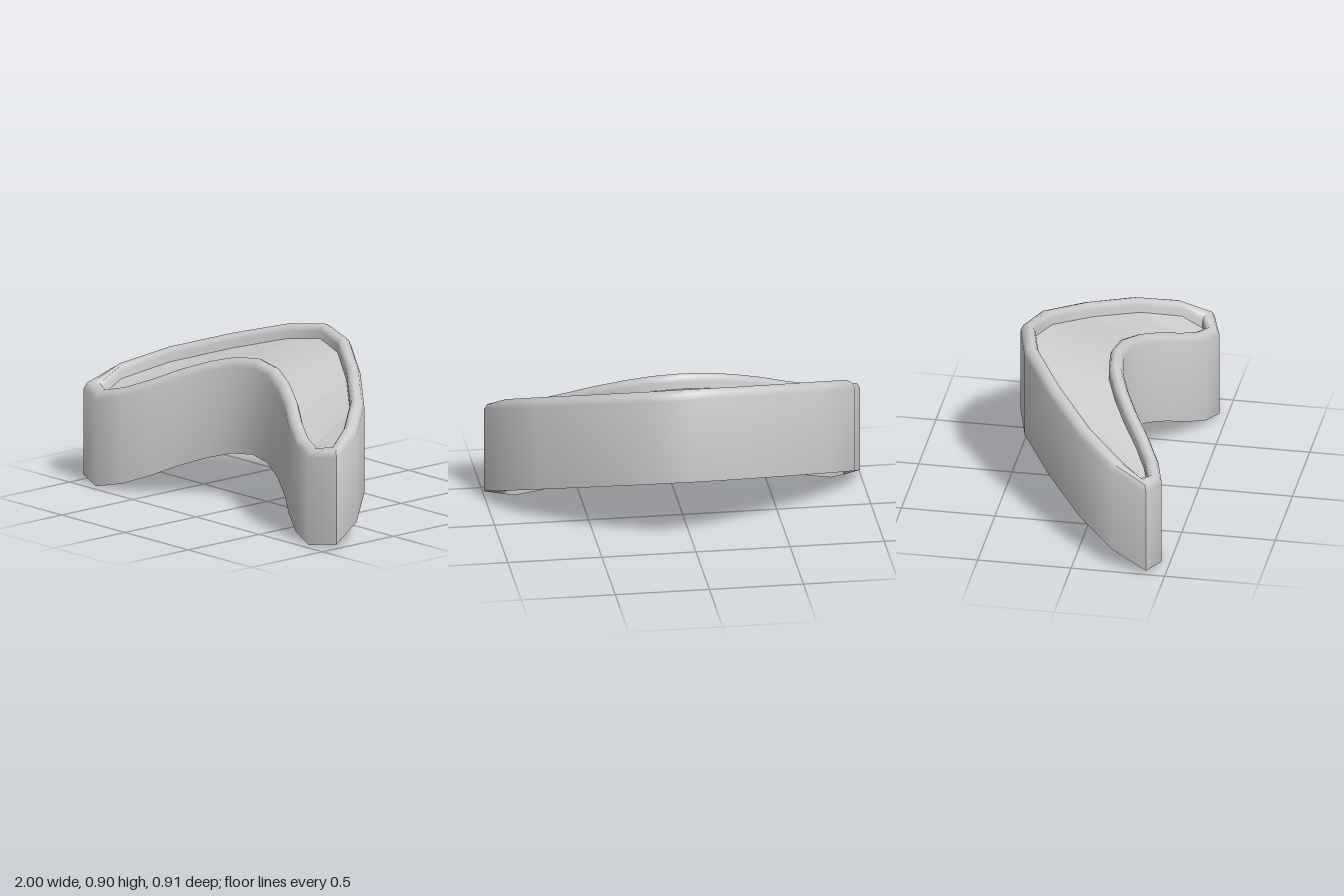
import * as THREE from 'three';
import { toCreasedNormals } from 'three/addons/utils/BufferGeometryUtils.js';

// Half outline in plan [x, z]: back apex -> tip, then tip -> front centre
const BACK = [[0, -0.455], [0.23, -0.39], [0.5, -0.215], [0.77, 0], [0.945, 0.21], [1, 0.4]];
const FRONT = [[0.84, 0.455], [0.69, 0.41], [0.55, 0.335], [0.42, 0.25], [0.28, 0.175], [0.14, 0.12], [0, 0.1]];
const Z_FRONT = 0.455;

// Wall section [inset, height]: outer face, rounded rim, inner face
const SECTION = [[0, 0], [0, 0.47], [0.014, 0.502], [0.043, 0.515], [0.066, 0.505], [0.075, 0.48], [0.075, 0]];
const WALL = 0.075;
const FLOOR_HEIGHT = 0.44;

// Full outline with its base height: the front edge climbs more steeply than the back
function buildOutline() {
  const half = [
    ...BACK.map(([x, z]) => ({ x, z, y: 0.418 * (Z_FRONT - z) })),
    ...FRONT.map(([x, z]) => ({ x, z, y: 0.76 * (Z_FRONT - z) })),
  ];
  const mirrored = half.slice(1, -1).reverse().map((p) => ({ ...p, x: -p.x }));
  const loop = [...half, ...mirrored];
  const n = loop.length;
  // Mitred inward direction at each corner
  const inward = (a, b) => {
    const l = Math.hypot(b.x - a.x, b.z - a.z);
    return [-(b.z - a.z) / l, (b.x - a.x) / l];
  };
  return loop.map((p, i) => {
    const [ax, az] = inward(loop[(i + n - 1) % n], p);
    const [bx, bz] = inward(p, loop[(i + 1) % n]);
    const k = 1 + ax * bx + az * bz;
    return { ...p, mx: (ax + bx) / k, mz: (az + bz) / k };
  });
}

const pointAt = (p, inset, height) => [p.x + p.mx * inset, p.y + height, p.z + p.mz * inset];

function makeGeometry(positions, index) {
  const g = new THREE.BufferGeometry();
  g.setAttribute('position', new THREE.Float32BufferAttribute(positions, 3));
  g.setIndex(index);
  g.computeVertexNormals();
  return g;
}

// Wall: the section swept around the closed outline
function wallGeometry(outline) {
  const positions = [], index = [];
  const n = outline.length, m = SECTION.length;
  outline.forEach((p, i) => {
    for (let j = 0; j < m; j++) {
      positions.push(...pointAt(p, ...SECTION[j]));
      const k = (j + 1) % m, next = ((i + 1) % n) * m;
      const a = i * m + j, b = i * m + k, c = next + j, d = next + k;
      index.push(a, b, c, b, d, c);
    }
  });
  return toCreasedNormals(makeGeometry(positions, index), 0.95);
}

// Height and depth of a chain of points at a given x
function sample(chain, x) {
  let i = 0;
  while (i < chain.length - 2 && chain[i + 1][0] < x) i++;
  const [a, b] = [chain[i], chain[i + 1]];
  const t = (x - a[0]) / (b[0] - a[0]);
  return [x, a[1] + (b[1] - a[1]) * t, a[2] + (b[2] - a[2]) * t];
}

// Recessed panel: a strip joining the back and front inner edges
function floorGeometry(outline) {
  const inner = outline.map((p) => pointAt(p, WALL - 0.002, FLOOR_HEIGHT));
  const tip = BACK.length - 1;
  const back = inner.slice(0, tip + 1);
  const front = inner.slice(tip, tip + FRONT.length + 1).reverse();
  const half = [...new Set([...back, ...front].map((p) => Math.max(0, +p[0].toFixed(5))))].sort((a, b) => a - b);
  const xs = [...half.slice(1).reverse().map((x) => -x), ...half];
  const positions = [], index = [];
  xs.forEach((x, i) => {
    for (const chain of [back, front]) {
      const [, y, z] = sample(chain, Math.abs(x));
      positions.push(x, y, z);
    }
    if (i > 0) {
      const a = (i - 1) * 2;
      index.push(a, a + 1, a + 2, a + 1, a + 3, a + 2);
    }
  });
  return makeGeometry(positions, index);
}

export function createModel() {
  const group = new THREE.Group();
  group.name = 'curvedTray';
  const outline = buildOutline();

  const wall = new THREE.Mesh(wallGeometry(outline), new THREE.MeshStandardMaterial({ color: 0xcccccc }));
  wall.name = 'rimmedWall';

  const floor = new THREE.Mesh(
    floorGeometry(outline),
    new THREE.MeshStandardMaterial({ color: 0xcccccc, side: THREE.DoubleSide })
  );
  floor.name = 'recessedPanel';

  group.add(wall, floor);
  return group;
}
